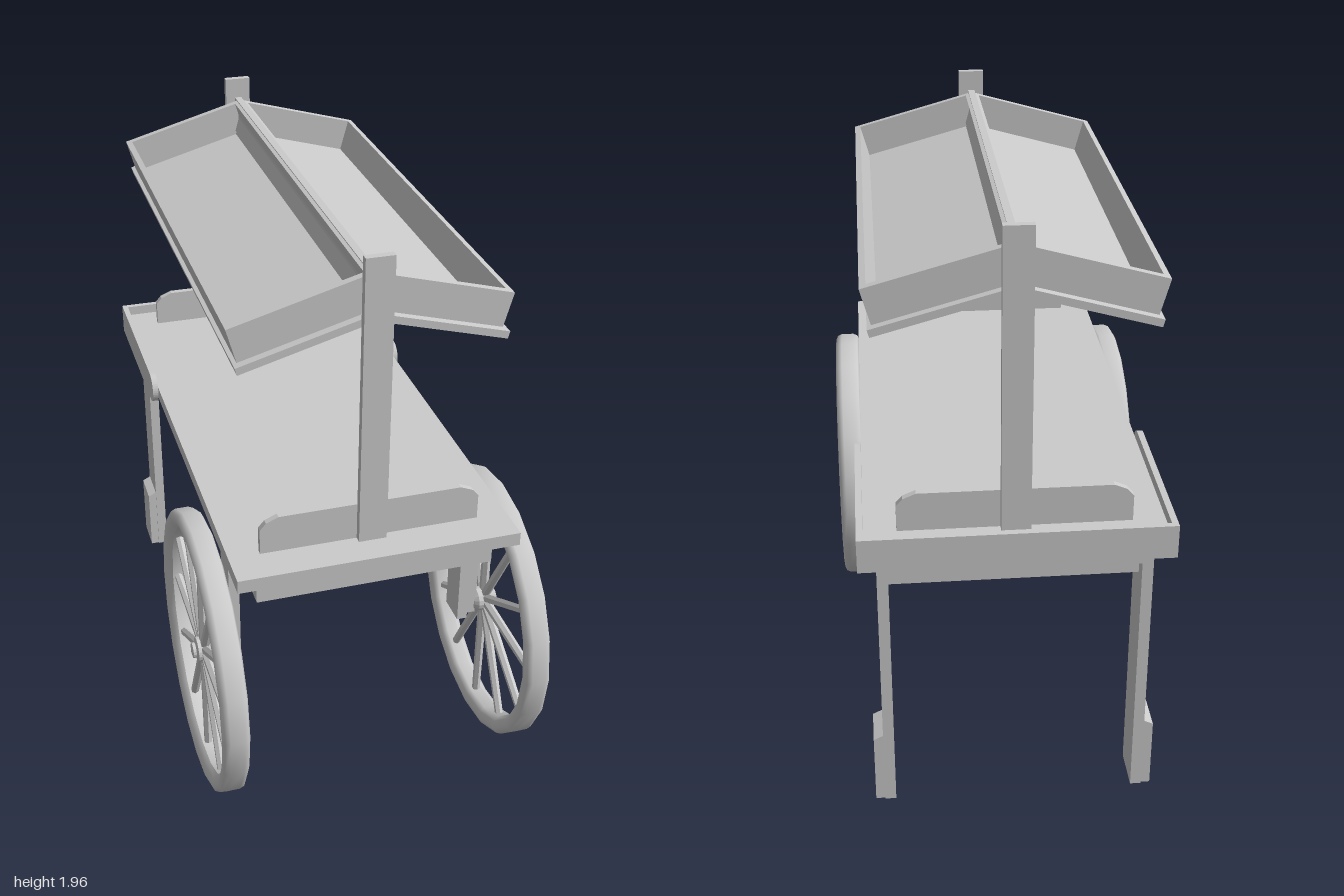
import * as THREE from 'three';

const grey = new THREE.MeshStandardMaterial({ color: 0xcccccc, flatShading: true });
const smooth = new THREE.MeshStandardMaterial({ color: 0xcccccc });

export function createModel() {
  const cart = new THREE.Group();
  cart.name = 'marketCart';

  const add = (name, geo, parent = cart, mat = grey) => {
    const m = new THREE.Mesh(geo, mat);
    m.name = name;
    parent.add(m);
    return m;
  };
  // Box given by its limits on each axis
  const box = (name, x0, x1, y0, y1, z0, z1, parent = cart) => {
    const m = add(name, new THREE.BoxGeometry(Math.abs(x1 - x0), y1 - y0, z1 - z0), parent);
    m.position.set((x0 + x1) / 2, (y0 + y1) / 2, (z0 + z1) / 2);
    return m;
  };
  // Board cut from an outline in x and y, running from z0 to z1
  const board = (name, pts, z0, z1, parent = cart) => {
    const shape = new THREE.Shape(pts.map(p => new THREE.Vector2(...p)));
    const geo = new THREE.ExtrudeGeometry(shape, { depth: z1 - z0, bevelEnabled: false });
    const m = add(name, geo, parent);
    m.position.z = z0;
    return m;
  };

  // Table top and the frame below it
  box('tableTop', -0.455, 0.455, 0.955, 1.0, -0.985, 0.86);
  box('frontApron', -0.385, 0.385, 0.87, 0.955, 0.78, 0.81);
  box('rearApron', -0.385, 0.385, 0.87, 0.955, -0.94, -0.91);
  box('frontCrossbar', -0.385, 0.385, 0.8, 0.87, 0.5, 0.54);
  box('rearCrossbar', -0.385, 0.385, 0.8, 0.87, -0.88, -0.84);
  box('rearRim', -0.475, 0.475, 0.925, 1.035, -1.0, -0.98);

  // Side rim with a rounded front end, drawn in z and y
  const rim = new THREE.Shape();
  rim.moveTo(0.98, 0.925);
  rim.lineTo(0.415, 0.925);
  rim.absarc(0.415, 0.98, 0.055, -Math.PI / 2, Math.PI / 2, true);
  rim.lineTo(0.98, 1.035);
  const rimGeo = new THREE.ExtrudeGeometry(rim, { depth: 0.02, bevelEnabled: false, curveSegments: 10 });
  rimGeo.rotateY(Math.PI / 2);

  // Wheel parts, built around the y axis and turned onto x
  const ring = [[0.415, 0.02], [0.415, -0.02], [0.428, -0.037], [0.452, -0.045], [0.468, -0.038],
    [0.475, -0.022], [0.475, 0.022], [0.468, 0.038], [0.452, 0.045], [0.428, 0.037], [0.415, 0.02]];
  const rimRing = new THREE.LatheGeometry(ring.map(p => new THREE.Vector2(...p)), 20);
  const hubGeo = new THREE.LatheGeometry([[0, -0.045], [0.03, -0.045], [0.042, -0.03], [0.042, 0.025],
    [0.026, 0.03], [0.026, 0.04], [0, 0.045]].map(p => new THREE.Vector2(...p)), 16);
  const spokeGeo = new THREE.CylinderGeometry(0.014, 0.016, 0.4, 6);
  spokeGeo.translate(0, 0.225, 0);

  for (const s of [1, -1]) {
    const side = s > 0 ? 'left' : 'right';
    const limb = (name, x0, x1, ...rest) => box(side + name, s * x0, s * x1, ...rest);

    // Rails, legs and feet
    const sideRim = add(side + 'Rim', rimGeo);
    sideRim.position.x = s > 0 ? 0.455 : -0.475;
    limb('Apron', 0.355, 0.385, 0.87, 0.955, -0.91, 0.78);
    limb('RearLeg', 0.385, 0.42, 0, 0.955, -0.93, -0.79);
    limb('FrontLeg', 0.385, 0.42, 0.455, 0.955, 0.47, 0.575);
    const outline = (x0, x1, y0, y1, y2) =>
      [[s * x0, y0], [s * x1, y0], [s * x1, y1], [s * x0, y2]];
    board(side + 'Foot', outline(0.42, 0.45, 0, 0.24, 0.255), -0.925, -0.795);
    board(side + 'AxleBlock', outline(0.42, 0.46, 0.455, 0.66, 0.695), 0.495, 0.55);

    // Wheel with twelve spokes
    const wheel = new THREE.Group();
    wheel.name = side + 'Wheel';
    wheel.position.set(s * 0.5, 0.49, 0.525);
    cart.add(wheel);
    add('wheelRim', rimRing, wheel, smooth).rotation.z = -s * Math.PI / 2;
    add('hub', hubGeo, wheel).rotation.z = -s * Math.PI / 2;
    for (let i = 0; i < 12; i++) add('spoke', spokeGeo, wheel).rotation.x = i * Math.PI / 6;

    // Sloping open tray, hung from the ridge
    const tray = new THREE.Group();
    tray.name = side + 'RoofTray';
    tray.position.y = 1.885;
    tray.rotation.z = -s * 0.27;
    cart.add(tray);
    const part = (name, u0, u1, ...rest) => box(name, s * u0, s * u1, ...rest, tray);
    part('trayFloor', 0.01, 0.465, -0.136, -0.112, -0.897, 0.742);
    part('trayOuterWall', 0.432, 0.452, -0.112, 0, -0.87, 0.715);
    part('trayInnerWall', 0.005, 0.025, -0.112, 0, -0.87, 0.715);
    part('trayFrontWall', 0.025, 0.432, -0.112, 0, 0.69, 0.715);
    part('trayRearWall', 0.025, 0.432, -0.112, 0, -0.87, -0.845);
  }

  // Ridge board, posts and their end boards
  box('ridgeBoard', -0.012, 0.012, 1.755, 1.885, -0.898, 0.742);
  const ends = [['front', 0.742, 0.766, 0.722, 0.742], ['rear', -0.922, -0.898, -0.898, -0.876]];
  for (const [name, p0, p1, b0, b1] of ends) {
    box(name + 'Post', -0.045, 0.045, 1.0, 1.955, p0, p1);
    board(name + 'EndBoard', [[-0.355, 1.0], [0.355, 1.0], [0.355, 1.085], [0.335, 1.108], [0.295, 1.125],
      [-0.295, 1.125], [-0.335, 1.108], [-0.355, 1.085]], b0, b1);
  }
  return cart;
}
